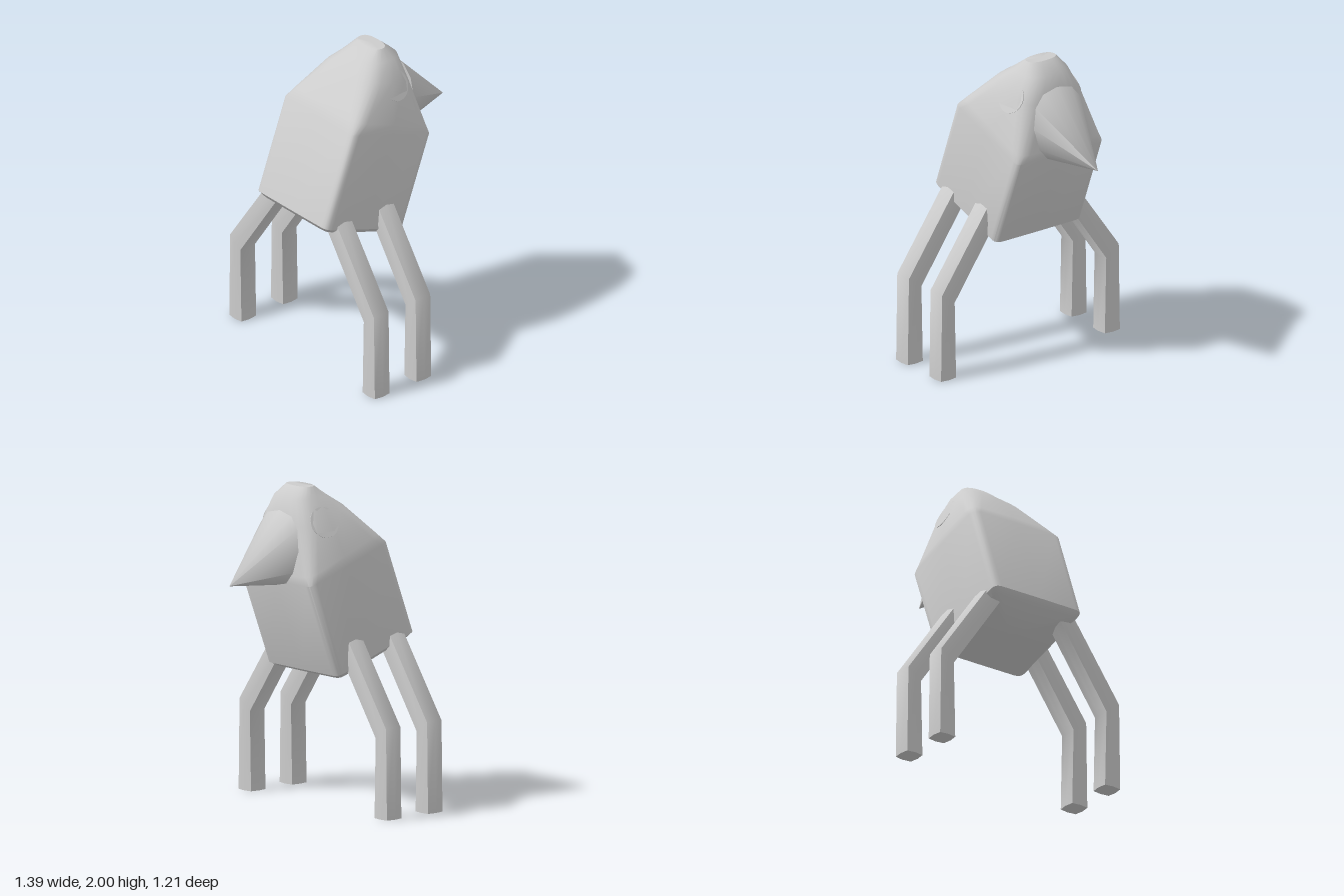
import * as THREE from 'three';
import { toCreasedNormals } from 'three/addons/utils/BufferGeometryUtils.js';

const grey = new THREE.MeshStandardMaterial({ color: 0xcccccc });
grey.name = 'paleGrey';

const v = (x, y, z) => new THREE.Vector3(x, y, z);

// Superellipse ring around c, spanned by half axes U and V; high p gives a squarer ring
function ring(c, U, V, p, n) {
  const soft = (t) => Math.sign(t) * Math.pow(Math.abs(t), 2 / p);
  return Array.from({ length: n }, (_, i) => {
    const a = (i / n) * Math.PI * 2;
    return c.clone().addScaledVector(U, soft(Math.cos(a))).addScaledVector(V, soft(Math.sin(a)));
  });
}

// Skin over rings, closed at both ends; rings advance along U x V
function loft(rings, crease) {
  const pos = [];
  const tri = (...pts) => pts.forEach((q) => pos.push(q.x, q.y, q.z));
  const n = rings[0].length;
  const middle = (r) => r.reduce((s, q) => s.add(q), v(0, 0, 0)).divideScalar(n);
  const first = rings[0], last = rings[rings.length - 1];
  const c0 = middle(first), c1 = middle(last);
  for (let j = 0; j < n; j++) {
    const k = (j + 1) % n;
    for (let i = 0; i + 1 < rings.length; i++) {
      const lo = rings[i], hi = rings[i + 1];
      tri(lo[j], lo[k], hi[k]);
      tri(lo[j], hi[k], hi[j]);
    }
    tri(c0, first[k], first[j]);
    tri(c1, last[j], last[k]);
  }
  const g = new THREE.BufferGeometry();
  g.setAttribute('position', new THREE.Float32BufferAttribute(pos, 3));
  g.computeVertexNormals();
  return toCreasedNormals(g, crease);
}

function add(group, name, geometry) {
  const mesh = new THREE.Mesh(geometry, grey);
  mesh.name = name;
  group.add(mesh);
  return mesh;
}

export function createModel() {
  const model = new THREE.Group();
  model.name = 'beakedWalker';

  // Leaning box body that narrows into a domed head:
  // [z, y at +z side, z, y at -z side, half width, squareness]
  const sections = [
    [0.58, 1.025, 0.02, 0.83, 0.305, 16],
    [0.605, 1.06, -0.02, 0.85, 0.335, 16],
    [0.39, 1.64, -0.24, 1.43, 0.335, 16],
    [0.34, 1.70, -0.24, 1.48, 0.32, 9],
    [0.18, 1.88, -0.2, 1.77, 0.235, 3.6],
    [0.1, 1.94, -0.17, 1.93, 0.16, 2.8],
    [0.02, 2.0, -0.09, 2.0, 0.105, 2.5],
  ];
  const bodyRings = sections.map(([za, ya, zb, yb, hx, p]) =>
    ring(v(0, (ya + yb) / 2, (za + zb) / 2), v(hx, 0, 0), v(0, (yb - ya) / 2, (zb - za) / 2), p, 24));
  add(model, 'bodyAndHead', loft(bodyRings, 0.7));

  // Hooked beak
  const beakBase = ring(v(0, 1.63, -0.215), v(0.19, 0, 0), v(0, -0.23, -0.015), 2.5, 12);
  const beakTip = ring(v(0, 1.44, -0.604), v(0.002, 0, 0), v(0, -0.002, 0), 2, 12);
  add(model, 'beak', loft([beakBase, beakTip], 0.9));

  for (const s of [1, -1]) {
    const side = s > 0 ? 'left' : 'right';

    // Flat eye disc lying on the head
    const eye = add(model, side + 'Eye', new THREE.CylinderGeometry(0.098, 0.098, 0.009, 32));
    const normal = v(s * 0.9, 0.42, -0.13).normalize();
    eye.position.set(s * 0.228, 1.795, -0.04);
    eye.quaternion.setFromUnitVectors(v(0, 1, 0), normal);

    // Bent legs: [inner x, y, outer x, y] at foot, knee and hip
    for (const [place, z] of [['front', 0.457], ['back', 0.125]]) {
      const legRings = [
        [0.563, 0, 0.695, 0],
        [0.575, 0.49, 0.685, 0.57],
        [0.225, 0.995, 0.333, 1.068],
      ].map(([xi, yi, xo, yo]) =>
        ring(v(s * (xi + xo) / 2, (yi + yo) / 2, z), v((xo - xi) / 2, s * (yo - yi) / 2, 0), v(0, 0, -0.067), 5, 8));
      add(model, side + place[0].toUpperCase() + place.slice(1) + 'Leg', loft(legRings, 1.1));
    }
  }
  return model;
}
